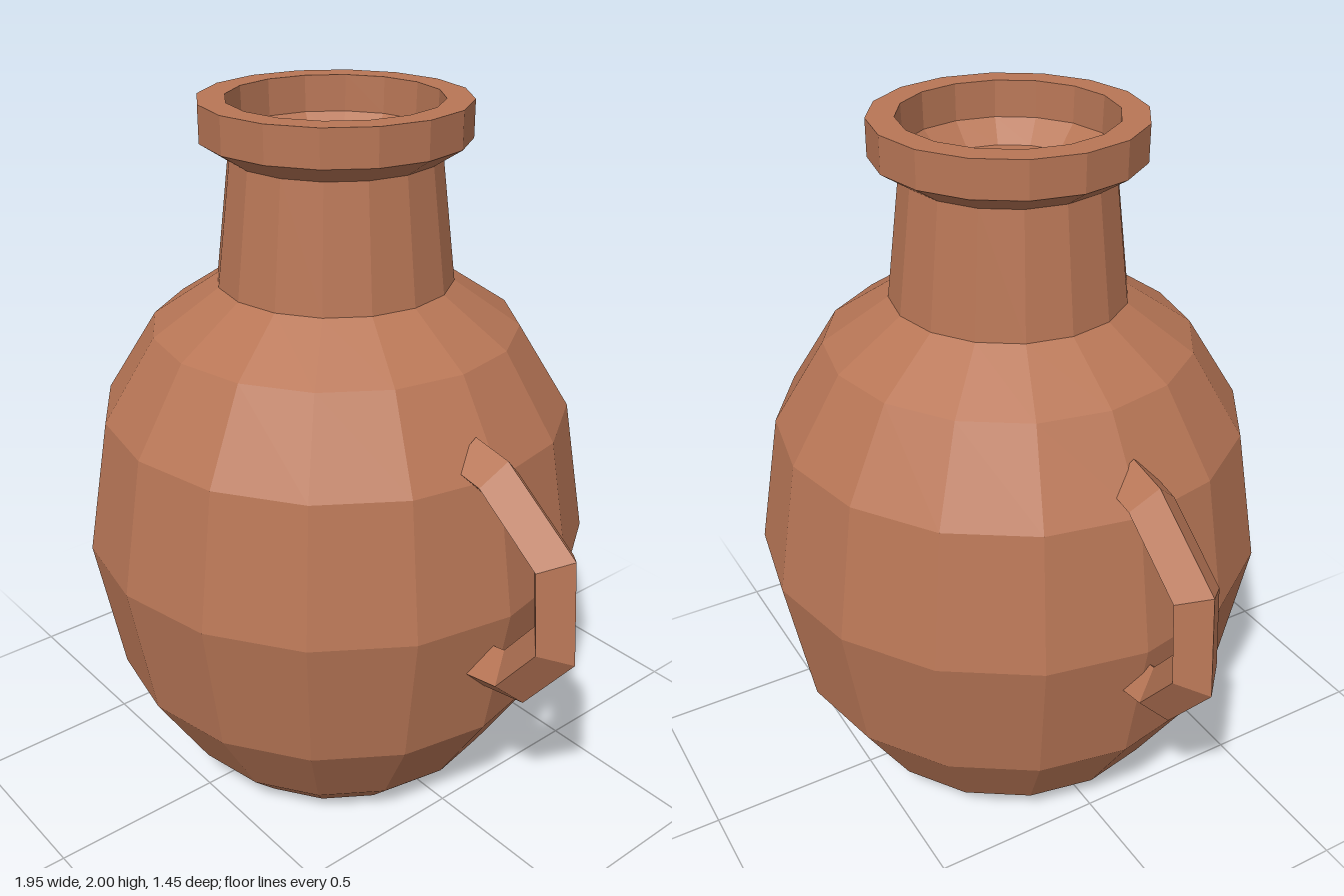
import * as THREE from 'three';

const clay = new THREE.MeshStandardMaterial({ color: 0xb87656, flatShading: true });
clay.name = 'terracotta';

// Bar with a diamond section, mitred along a path in the xy plane
function diamondBar(path, radius) {
  const pts = path.map(([x, y]) => new THREE.Vector2(x, y));
  const pos = [], index = [];
  const last = pts.length - 1;
  pts.forEach((p, i) => {
    const before = pts[i].clone().sub(pts[Math.max(i - 1, 0)]).normalize();
    const after = pts[Math.min(i + 1, last)].clone().sub(pts[i]).normalize();
    const t = before.clone().add(after).normalize();
    const miter = radius / t.dot(i < last ? after : before);
    const nx = -t.y * miter, ny = t.x * miter;
    pos.push(p.x + nx, p.y + ny, 0, p.x, p.y, radius,
      p.x - nx, p.y - ny, 0, p.x, p.y, -radius);
    if (i === last) return;
    for (let k = 0; k < 4; k++) {
      const a = i * 4 + k, b = i * 4 + (k + 1) % 4;
      index.push(a, b, b + 4, a, b + 4, a + 4);
    }
  });
  const e = last * 4;
  index.push(0, 2, 1, 0, 3, 2, e, e + 1, e + 2, e, e + 2, e + 3);
  const geo = new THREE.BufferGeometry();
  geo.setAttribute('position', new THREE.Float32BufferAttribute(pos, 3));
  geo.setIndex(index);
  const flat = geo.toNonIndexed();
  flat.computeVertexNormals();
  return flat;
}

export function createModel() {
  const group = new THREE.Group();
  group.name = 'jar';

  const add = (name, geometry, x, y, z) => {
    const mesh = new THREE.Mesh(geometry, clay);
    mesh.name = name;
    mesh.position.set(x, y, z);
    group.add(mesh);
    return mesh;
  };

  // Foot, belly, shoulder, neck, collar and recessed mouth in one profile
  const profile = [
    [0, 0], [0.395, 0], [0.495, 0.1], [0.655, 0.36], [0.727, 0.765],
    [0.66, 1.15], [0.513, 1.385], [0.328, 1.51], [0.287, 1.85],
    [0.364, 1.9], [0.364, 2], [0.29, 2], [0.287, 1.9], [0.228, 1.84], [0, 1.84],
  ].map(([x, y]) => new THREE.Vector2(x, y));
  add('jarBody', new THREE.LatheGeometry(profile, 16), -0.007, 0, 0);

  // Two side handles, the right one set slightly higher
  const handle = diamondBar([
    [0.58, 1.185], [0.68, 1.165], [0.882, 1.015], [0.902, 0.785],
    [0.775, 0.62], [0.64, 0.595],
  ], 0.069);
  add('leftHandle', handle, 0, 0, 0.034);
  add('rightHandle', handle, 0, 0.025, 0.02).rotation.y = Math.PI;

  return group;
}
